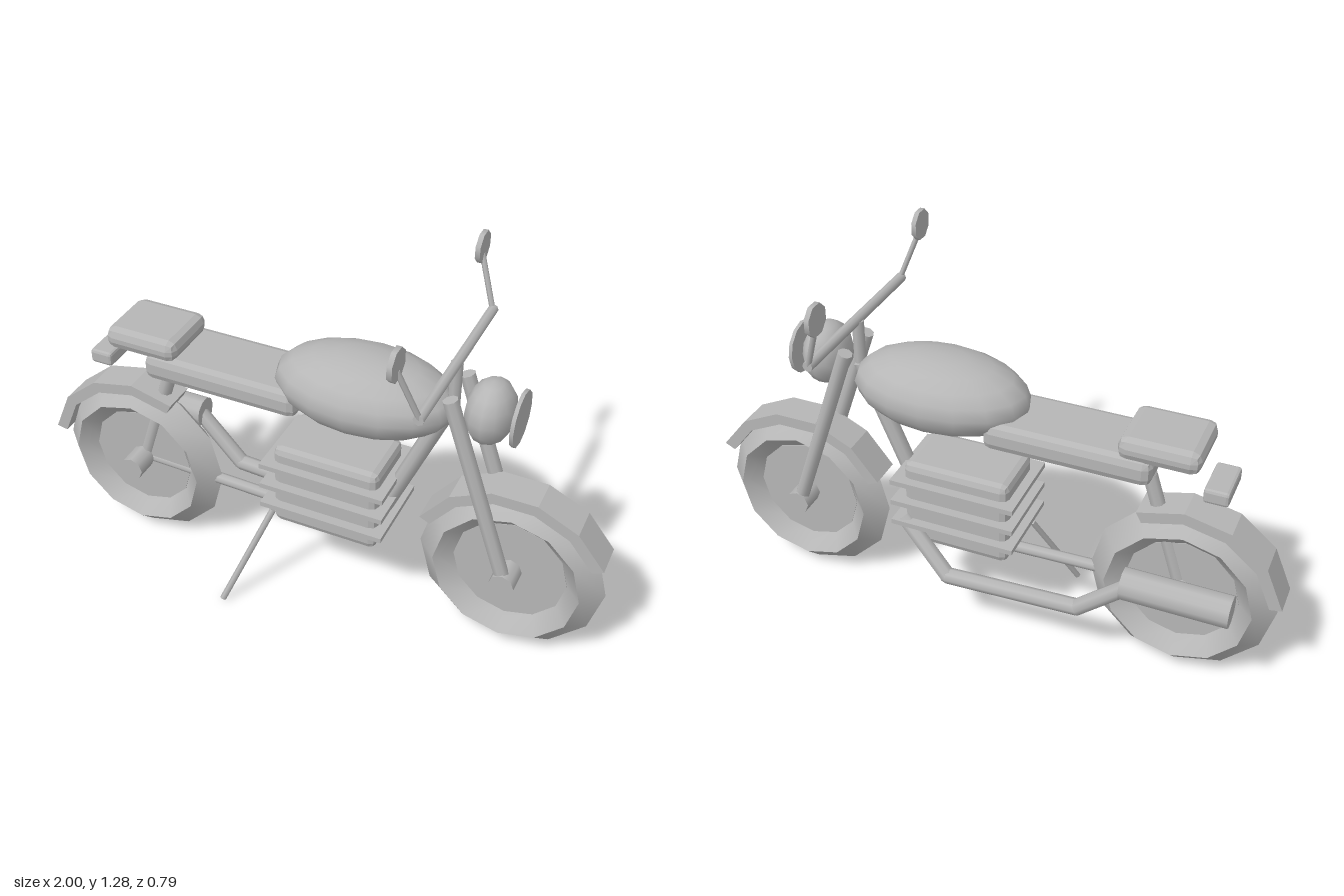
import * as THREE from 'three';
import { toCreasedNormals } from 'three/addons/utils/BufferGeometryUtils.js';
import { RoundedBoxGeometry } from 'three/addons/geometries/RoundedBoxGeometry.js';

const grey = new THREE.MeshStandardMaterial({ color: 0xb6b6b6 });
grey.name = 'plain grey';

const V = (p) => new THREE.Vector3(...p);

export function createModel() {
  const model = new THREE.Group();
  model.name = 'motorcycle';

  const add = (name, geometry, pos = [0, 0, 0], parent = model) => {
    const mesh = new THREE.Mesh(geometry, grey);
    mesh.name = name;
    mesh.position.set(...pos);
    parent.add(mesh);
    return mesh;
  };

  // Straight round bar between two points
  const rod = (name, a, b, r, sides = 8, parent = model) => {
    const from = V(a), to = V(b), dir = to.clone().sub(from);
    const mesh = add(name, new THREE.CylinderGeometry(r, r, dir.length(), sides), [0, 0, 0], parent);
    mesh.position.copy(from).lerp(to, 0.5);
    mesh.quaternion.setFromUnitVectors(new THREE.Vector3(0, 1, 0), dir.normalize());
    return mesh;
  };

  // Bent pipe: bars with round joints at the bends
  const pipe = (name, points, r) => {
    const group = new THREE.Group();
    group.name = name;
    model.add(group);
    points.slice(1).forEach((p, i) => {
      rod(name + 'Section', points[i], p, r, 8, group);
      if (i > 0) add(name + 'Joint', new THREE.SphereGeometry(r, 8, 6), points[i], group);
    });
  };

  // Box with chamfered edges, given by its limits on x and y and its width
  const block = (name, x0, x1, y0, y1, width, bevel) => {
    const g = new RoundedBoxGeometry(x1 - x0, y1 - y0, width, 1, bevel);
    const flat = g.index ? g.toNonIndexed() : g;
    flat.computeVertexNormals();
    return add(name, flat, [(x0 + x1) / 2, (y0 + y1) / 2, 0]);
  };

  const ellipsoid = (name, pos, scale, w, h) =>
    add(name, new THREE.SphereGeometry(1, w, h).scale(...scale), pos);

  // Curved mudguard of square section around a wheel centre
  const mudguard = (name, x, startDeg, endDeg, steps) => {
    const shape = new THREE.Shape();
    const at = (i, r) => {
      const a = THREE.MathUtils.degToRad(startDeg + (endDeg - startDeg) * i / steps);
      return [r * Math.cos(a), r * Math.sin(a)];
    };
    shape.moveTo(...at(0, 0.335));
    for (let i = 1; i <= steps; i++) shape.lineTo(...at(i, 0.335));
    for (let i = steps; i >= 0; i--) shape.lineTo(...at(i, 0.295));
    const g = new THREE.ExtrudeGeometry(shape, { depth: 0.116, bevelEnabled: false });
    add(name, g.translate(0, 0, -0.058), [x, 0.32, 0]);
  };

  // Wheels: diamond section tyre, thin disc and hub
  const wheel = (name, x) => {
    const group = new THREE.Group();
    group.name = name;
    group.position.set(x, 0.32, 0);
    model.add(group);
    const tyre = toCreasedNormals(new THREE.TorusGeometry(0.244, 0.067, 4, 12), 0.7);
    add('tyre', tyre, [0, 0, 0], group);
    add('disc', new THREE.CylinderGeometry(0.19, 0.19, 0.03, 12).rotateX(Math.PI / 2), [0, 0, 0], group);
    add('hub', new THREE.CylinderGeometry(0.042, 0.042, 0.2, 8).rotateX(Math.PI / 2), [0, 0, 0], group);
  };
  wheel('frontWheel', 0.685);
  wheel('rearWheel', -0.678);
  mudguard('frontMudguard', 0.685, 26, 154, 5);
  mudguard('rearMudguard', -0.678, 62, 170, 4);

  // Frame
  pipe('downTube', [[0.445, 0.9, 0], [0.2, 0.32, 0]], 0.028);
  pipe('swingArm', [[-0.67, 0.32, 0], [0.0, 0.3, 0]], 0.02);
  pipe('rearFrame', [[-0.67, 0.33, 0], [-0.54, 0.73, 0], [-0.08, 0.79, 0]], 0.025);

  // Engine with cooling fins
  block('engine', -0.112, 0.257, 0.31, 0.62, 0.228, 0.025);
  for (const y of [0.556, 0.475, 0.395]) {
    add('engineFin', new THREE.BoxGeometry(0.433, 0.018, 0.292), [0.073, y, 0]);
  }

  // Exhaust on the far side
  pipe('exhaustPipe', [[0.26, 0.4, -0.11], [0.08, 0.238, -0.16], [-0.38, 0.262, -0.163], [-0.56, 0.43, -0.18]], 0.028);
  rod('muffler', [-0.53, 0.43, -0.18], [-0.875, 0.43, -0.18], 0.053, 10);

  // Tank, seat and tail
  ellipsoid('fuelTank', [0.16, 0.867, 0], [0.3, 0.128, 0.182], 16, 10);
  block('seat', -0.572, -0.025, 0.758, 0.85, 0.245, 0.028);
  block('rearPad', -0.715, -0.457, 0.833, 0.91, 0.232, 0.03);
  block('tailLight', -0.805, -0.725, 0.73, 0.78, 0.16, 0.01);

  // Headlight and lens
  ellipsoid('headlight', [0.567, 0.91, 0], [0.078, 0.107, 0.103], 12, 8);
  add('headlightLens', new THREE.CylinderGeometry(0.09, 0.09, 0.012, 12).rotateZ(Math.PI / 2), [0.658, 0.91, 0]);

  // Handlebar
  rod('steeringStem', [0.45, 1.05, 0], [0.45, 0.9, 0], 0.02);
  rod('handlebar', [0.452, 1.053, -0.316], [0.452, 1.053, 0.316], 0.017);

  // Forks and mirrors on both sides
  for (const s of [1, -1]) {
    rod('frontFork', [0.462, 0.965, s * 0.074], [0.685, 0.32, s * 0.074], 0.025);
    rod('mirrorStem', [0.452, 1.055, s * 0.308], [0.393, 1.22, s * 0.344], 0.009, 6);
    add('mirror', new THREE.CylinderGeometry(0.052, 0.052, 0.016, 8).rotateY(Math.PI / 8).rotateZ(Math.PI / 2),
      [0.391, 1.243, s * 0.347]);
  }

  // Kickstand
  rod('kickstand', [-0.12, 0.34, 0.1], [-0.24, 0.015, 0.26], 0.011, 6);

  return model;
}
